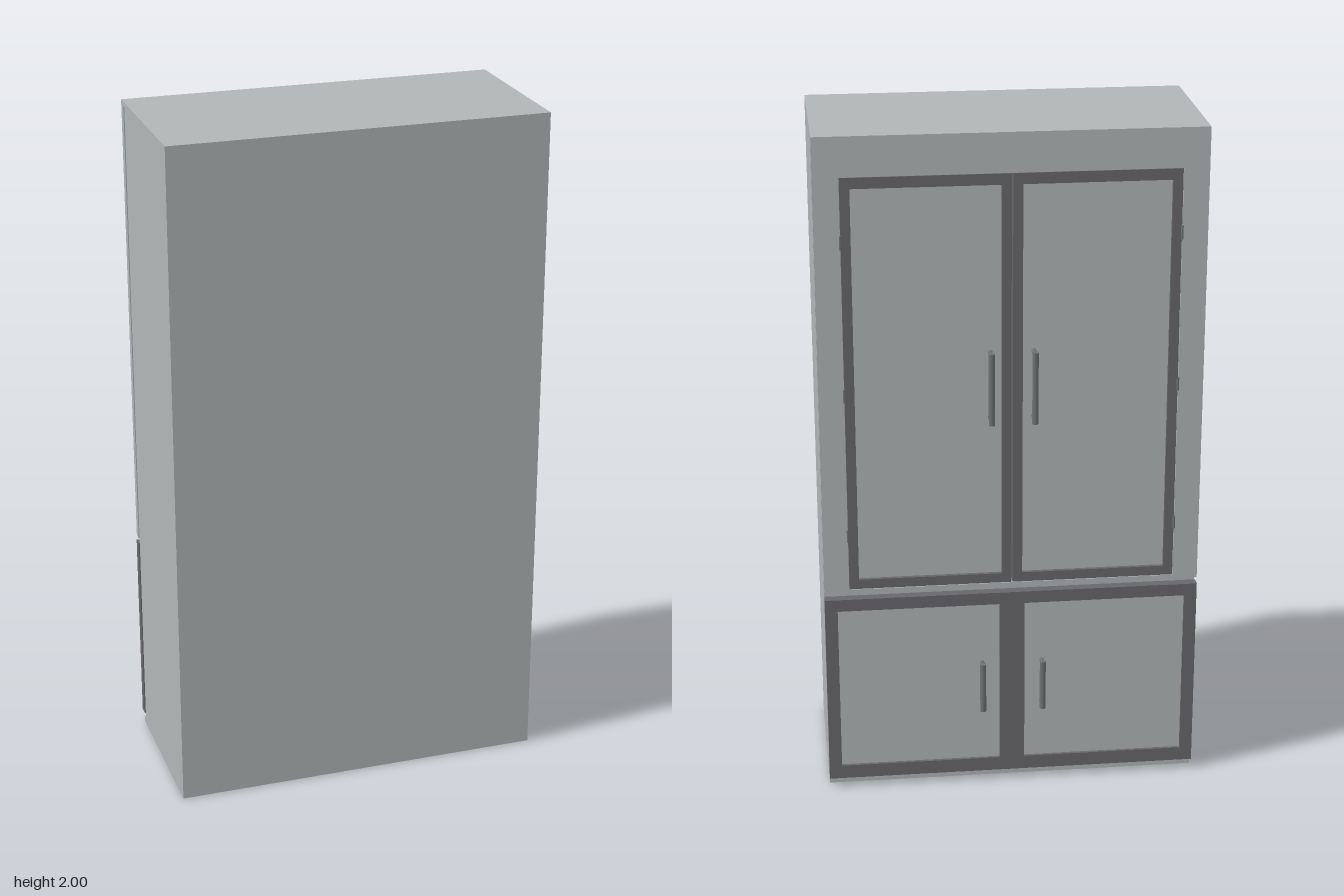
import * as THREE from 'three';

export function createModel() {
  const cabinet = new THREE.Group();
  cabinet.name = 'cabinet';

  const shellGrey = new THREE.MeshStandardMaterial({ color: 0xb0b5b5 });
  shellGrey.name = 'shellGrey';
  const frameGrey = new THREE.MeshStandardMaterial({ color: 0x67676c });
  frameGrey.name = 'frameGrey';
  const handleGrey = new THREE.MeshStandardMaterial({ color: 0x6e7272 });
  handleGrey.name = 'handleGrey';

  function add(name, geometry, material, parent = cabinet) {
    const mesh = new THREE.Mesh(geometry, material);
    mesh.name = name;
    parent.add(mesh);
    return mesh;
  }

  // Box given by its limits on each axis
  function box(name, x0, x1, y0, y1, z0, z1, material, parent) {
    const mesh = add(name, new THREE.BoxGeometry(x1 - x0, y1 - y0, z1 - z0), material, parent);
    mesh.position.set((x0 + x1) / 2, (y0 + y1) / 2, (z0 + z1) / 2);
    return mesh;
  }

  // Flat frame with rectangular openings, each rectangle as [x0, x1, y0, y1]
  function frame(name, outer, holes, z0, z1, material, parent) {
    const corners = ([x0, x1, y0, y1]) =>
      [[x0, y0], [x1, y0], [x1, y1], [x0, y1]].map(([x, y]) => new THREE.Vector2(x, y));
    const shape = new THREE.Shape(corners(outer));
    for (const hole of holes) shape.holes.push(new THREE.Path(corners(hole).reverse()));
    const geometry = new THREE.ExtrudeGeometry(shape, { depth: z1 - z0, bevelEnabled: false });
    geometry.translate(0, 0, z0);
    return add(name, geometry, material, parent);
  }

  // Bar handle: upright grip on two posts
  function handle(name, x, y0, y1, zBar, zDoor, parent) {
    const group = new THREE.Group();
    group.name = name;
    parent.add(group);
    const r = 0.009;
    const grip = add('grip', new THREE.CylinderGeometry(r, r, y1 - y0, 16), handleGrey, group);
    grip.position.set(x, (y0 + y1) / 2, zBar);
    for (const y of [y0 + 0.009, y1 - 0.009]) {
      const post = add('post', new THREE.CylinderGeometry(0.0065, 0.0065, zDoor - zBar, 12), handleGrey, group);
      post.rotation.x = Math.PI / 2;
      post.position.set(x, y, (zBar + zDoor) / 2);
    }
  }

  // Carcass, with top and floor plates reaching over the gap behind the doors
  box('carcass', -0.55, 0.55, 0, 2, -0.193, 0.272, shellGrey);
  box('topLip', -0.55, 0.55, 1.985, 2, -0.23, -0.193, shellGrey);
  box('floorLip', -0.55, 0.55, 0, 0.02, -0.206, -0.193, shellGrey);

  // Face frame around the upper doors
  frame('faceFrame', [-0.55, 0.55, 0.638, 1.985], [[-0.477, 0.477, 0.65, 1.885]], -0.23, -0.206, shellGrey);

  // Lower face frame spanning the full width
  frame('lowerFrame', [-0.55, 0.55, 0.03, 0.62],
    [[-0.513, -0.037, 0.072, 0.583], [0.037, 0.513, 0.072, 0.583]], -0.235, -0.206, frameGrey);

  for (const side of [-1, 1]) {
    const span = (a, b) => (side > 0 ? [a, b] : [-b, -a]);

    // Upper door: dark frame, recessed panel, handle and hinges
    const upper = new THREE.Group();
    upper.name = side > 0 ? 'leftUpperDoor' : 'rightUpperDoor';
    cabinet.add(upper);
    const [a, b] = span(0.002, 0.476);
    const [c, d] = span(0.03, 0.448);
    frame('doorFrame', [a, b, 0.651, 1.884], [[c, d, 0.68, 1.852]], -0.229, -0.194, frameGrey, upper);
    box('doorPanel', c, d, 0.68, 1.852, -0.218, -0.2, shellGrey, upper);
    handle('upperHandle', side * 0.062, 1.158, 1.373, -0.263, -0.218, upper);
    for (const y of [0.82, 1.25, 1.7]) {
      const hinge = add('hinge', new THREE.CylinderGeometry(0.004, 0.004, 0.04, 10), handleGrey, upper);
      hinge.position.set(side * 0.477, y, -0.228);
    }

    // Lower door panel and handle
    const lower = new THREE.Group();
    lower.name = side > 0 ? 'leftLowerDoor' : 'rightLowerDoor';
    cabinet.add(lower);
    const [e, f] = span(0.037, 0.513);
    box('doorPanel', e, f, 0.072, 0.583, -0.226, -0.207, shellGrey, lower);
    handle('lowerHandle', side * 0.089, 0.245, 0.4, -0.258, -0.226, lower);

    // Small flush feet
    for (const z of [-0.13, 0.205]) {
      const foot = add('foot', new THREE.CylinderGeometry(0.025, 0.025, 0.004, 20), frameGrey);
      foot.position.set(side * 0.47, 0.001, z);
    }
  }

  return cabinet;
}
